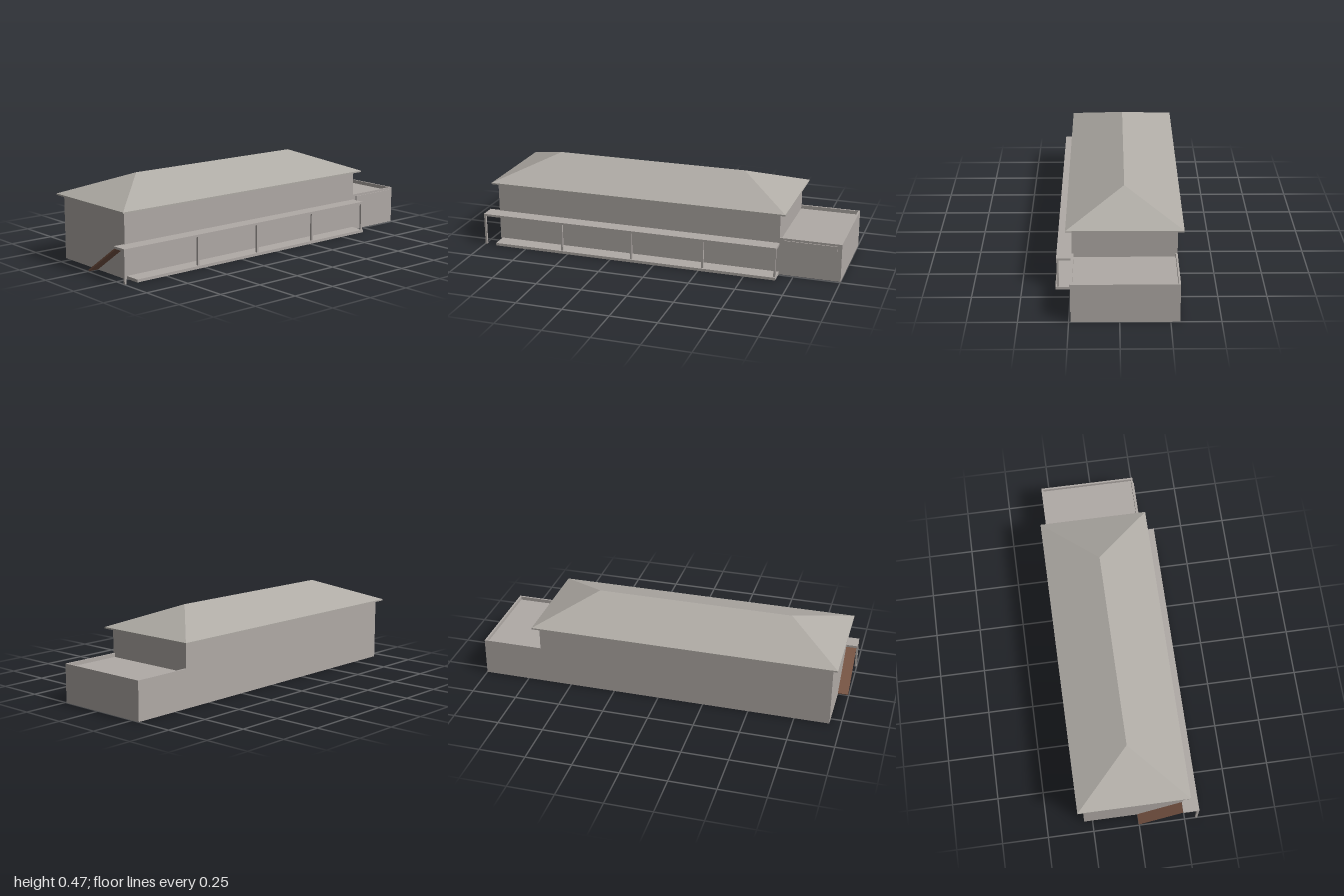
import * as THREE from 'three';

export function createModel() {
  const group = new THREE.Group();
  const wallMat = new THREE.MeshStandardMaterial({ color: 0xb0aaa6, side: THREE.DoubleSide });
  wallMat.name = 'warm grey wall';
  const roofMat = new THREE.MeshStandardMaterial({ color: 0xb0aca6 });
  roofMat.name = 'grey roof';
  const woodMat = new THREE.MeshStandardMaterial({ color: 0x7c5847 });
  woodMat.name = 'brown wood';

  function add(name, geometry, material) {
    const mesh = new THREE.Mesh(geometry, material);
    mesh.name = name;
    group.add(mesh);
    return mesh;
  }

  // Box given by its limits on each axis
  function box(name, [x0, x1], [y0, y1], [z0, z1], material = wallMat) {
    const g = new THREE.BoxGeometry(x1 - x0, y1 - y0, z1 - z0);
    g.translate((x0 + x1) / 2, (y0 + y1) / 2, (z0 + z1) / 2);
    return add(name, g, material);
  }

  // Vertical sheet from a to b, each an [x, z] pair
  function wall(name, a, b, y0, y1) {
    const dx = b[0] - a[0], dz = b[1] - a[1];
    const g = new THREE.PlaneGeometry(Math.hypot(dx, dz), y1 - y0);
    g.rotateY(Math.atan2(-dz, dx));
    g.translate((a[0] + b[0]) / 2, (y0 + y1) / 2, (a[1] + b[1]) / 2);
    return add(name, g, wallMat);
  }

  const left = -0.94, mid = 0.67, right = 1.0, back = -0.296, front = 0.241;
  const eave = 0.34, annexTop = 0.207, annexRoof = 0.187, t = 0.01;

  // Main building shell, open underneath
  wall('mainFrontWall', [left, front], [mid, front], 0, eave);
  wall('mainBackWall', [mid, back], [left, back], 0, eave);
  wall('mainEndWall', [left, back], [left, front], 0, eave);
  wall('mainUpperEndWall', [mid, front], [mid, back], annexRoof, eave);

  // Side annex with a parapet around its flat roof
  wall('annexFrontWall', [mid, front], [right, front], 0, annexRoof);
  wall('annexEndWall', [right, front], [right, back], 0, annexRoof);
  wall('annexBackWall', [right, back], [mid, back], 0, annexRoof);
  const deck = new THREE.PlaneGeometry(right - mid, front - back);
  deck.rotateX(-Math.PI / 2);
  deck.translate((mid + right) / 2, annexRoof, (front + back) / 2);
  add('annexRoof', deck, wallMat);
  const parapetY = [annexRoof, annexTop];
  box('parapetFront', [mid, right], parapetY, [front - t, front]);
  box('parapetBack', [mid, right], parapetY, [back, back + t]);
  box('parapetEnd', [right - t, right], parapetY, [back + t, front - t]);
  box('annexFasciaBoard', [0.695, 0.975], [0.167, 0.195], [front, front + 0.005]);

  // Hipped roof: eave slab below four slopes
  const rx0 = -0.967, rx1 = 0.702, rz0 = -0.327, rz1 = 0.271, ry = 0.348;
  box('eaveSlab', [rx0, rx1], [eave, ry], [rz0, rz1], roofMat);
  const A = [rx0, ry, rz1], B = [rx1, ry, rz1], C = [rx1, ry, rz0], D = [rx0, ry, rz0];
  const P = [-0.668, 0.467, -0.028], Q = [0.405, 0.467, -0.028];
  const slopes = [[A, B, Q], [A, Q, P], [B, C, Q], [C, D, P], [C, P, Q], [D, A, P]];
  const hip = new THREE.BufferGeometry();
  hip.setAttribute('position', new THREE.Float32BufferAttribute(slopes.flat(2), 3));
  hip.computeVertexNormals();
  add('hippedRoof', hip, roofMat);

  // Porch floor, canopy and posts
  box('porchFloor', [-0.93, mid], [0, 0.015], [front, 0.328]);
  box('porchCanopy', [-1, mid], [0.166, 0.178], [front - 0.007, 0.321]);
  [-0.994, -0.535, -0.132, 0.271, 0.664].forEach((x, i) => {
    box('porchPost', [x - 0.0055, x + 0.0055], [i ? 0.015 : 0, 0.166], [0.309, 0.32]);
  });

  // Sloping wooden ramp against the end wall
  const ramp = add('sideRamp', new THREE.BoxGeometry(0.056, 0.008, 0.298), woodMat);
  ramp.rotation.x = -0.592;
  ramp.position.set(-0.968, 0.0865, 0.123);

  return group;
}
